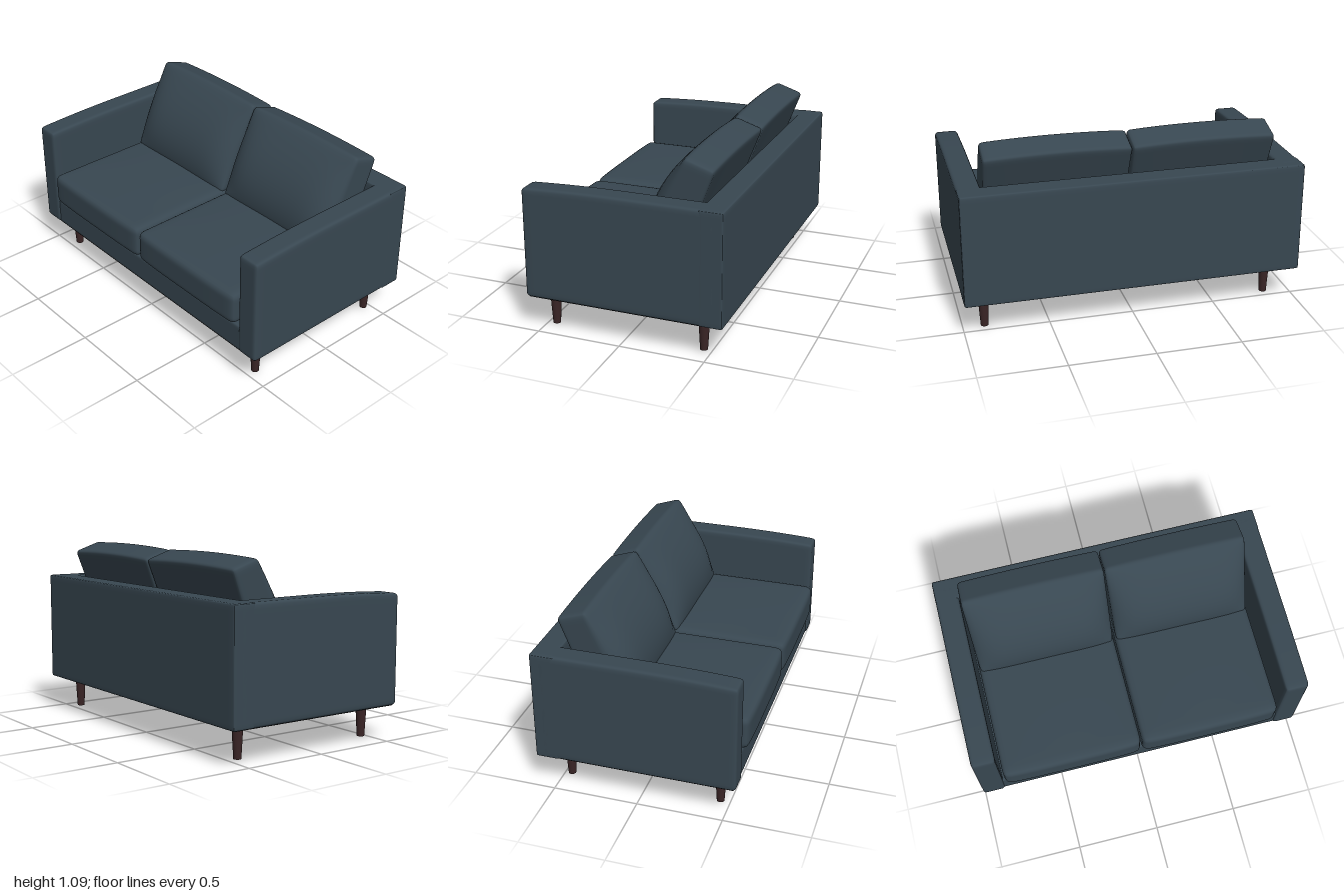
import * as THREE from 'three';
import { mergeVertices } from 'three/addons/utils/BufferGeometryUtils.js';

// Smooth rounded box, finely divided near its edges; warp(p, u, v, w) then
// moves each point, with u, v, w running from -1 to 1 across the box.
function softBox(w, h, d, r, warp) {
  const g = new THREE.BoxGeometry(2, 2, 2, 20, 20, 20);
  g.deleteAttribute('uv');
  g.deleteAttribute('normal');
  const pos = g.attributes.position;
  const half = new THREE.Vector3(w / 2, h / 2, d / 2);
  const lim = half.clone().subScalar(r);
  const p = new THREE.Vector3(), core = new THREE.Vector3();
  const ease = (t) => Math.sin(t * Math.PI / 2);
  for (let i = 0; i < pos.count; i++) {
    p.fromBufferAttribute(pos, i);
    p.set(ease(p.x), ease(p.y), ease(p.z)).multiply(half);
    core.copy(p).clamp(lim.clone().negate(), lim);
    p.sub(core).setLength(r).add(core);
    if (warp) warp(p, p.x / half.x, p.y / half.y, p.z / half.z);
    pos.setXYZ(i, p.x, p.y, p.z);
  }
  const out = mergeVertices(g, 1e-5);
  out.computeVertexNormals();
  return out;
}

export function createModel() {
  const sofa = new THREE.Group();
  sofa.name = 'sofa';

  const fabric = new THREE.MeshStandardMaterial({ color: 0x384751 });
  fabric.name = 'slate fabric';
  const wood = new THREE.MeshStandardMaterial({ color: 0x3a2526 });
  wood.name = 'dark wood';
  const lining = new THREE.MeshStandardMaterial({ color: 0x131313 });
  lining.name = 'black lining';

  const add = (name, geometry, material, x, y, z) => {
    const mesh = new THREE.Mesh(geometry, material);
    mesh.name = name;
    mesh.position.set(x, y, z);
    sofa.add(mesh);
    return mesh;
  };

  // Frame: base, back and two arms whose tops dip slightly at the front
  add('base', softBox(1.8, 0.165, 1.12, 0.015), fabric, 0, 0.2875, 0);
  add('back', softBox(2, 0.665, 0.14, 0.012), fabric, 0, 0.5375, -0.53);
  const arm = softBox(0.14, 0.665, 1.14, 0.022, (p, u, v, w) => {
    if (v > 0 && w > 0) p.y -= 0.017 * v * w * w;
  });
  for (const s of [1, -1]) {
    add(s > 0 ? 'leftArm' : 'rightArm', arm, fabric, s * 0.93, 0.5375, 0);
  }
  add('undersideLining', new THREE.BoxGeometry(1.97, 0.006, 1.14), lining, 0, 0.206, -0.015);

  // Seat cushions with a low crown and a gently bowed front
  const seat = softBox(0.842, 0.2, 1.04, 0.04, (p, u, v, w) => {
    if (v > 0) p.y += 0.014 * v * (1 - u * u) * (1 - w * w);
    if (w > 0) p.z += 0.008 * w * (1 - u ** 4);
  });

  // Back cushions: a leaning slab with a full, puffed front
  const corners = { fb: [-0.07, 0.56], ft: [-0.325, 1.085], bb: [-0.31, 0.54], bt: [-0.495, 1.028] };
  const lerp = THREE.MathUtils.lerp;
  const backrest = softBox(0.842, 0.53, 0.22, 0.025, (p, u, v, w) => {
    const t = (v + 1) / 2, k = (w + 1) / 2;
    const at = (i) => lerp(lerp(corners.bb[i], corners.bt[i], t), lerp(corners.fb[i], corners.ft[i], t), k);
    const puff = Math.max(0, w) * (1 - u ** 6) * (1 - v * v);
    p.x *= 0.985 + 0.02 * t;
    p.y = at(1) + 0.012 * t * (1 - u * u);
    p.z = at(0) + 0.085 * puff;
  });
  for (const s of [1, -1]) {
    const side = s > 0 ? 'left' : 'right';
    add(side + 'SeatCushion', seat, fabric, s * 0.425, 0.478, 0.072);
    add(side + 'BackCushion', backrest, fabric, s * 0.425, 0, 0);
  }

  // Tapered corner legs and a straight centre support
  const leg = new THREE.CylinderGeometry(0.033, 0.022, 0.2, 24);
  for (const [x, sideName] of [[0.875, 'Left'], [-0.838, 'Right']]) {
    add('front' + sideName + 'Leg', leg, wood, x, 0.11, 0.445);
    add('rear' + sideName + 'Leg', leg, wood, x, 0.11, -0.455);
  }
  add('centreLeg', new THREE.CylinderGeometry(0.023, 0.023, 0.206, 24), wood, 0, 0.103, -0.01);

  return sofa;
}
